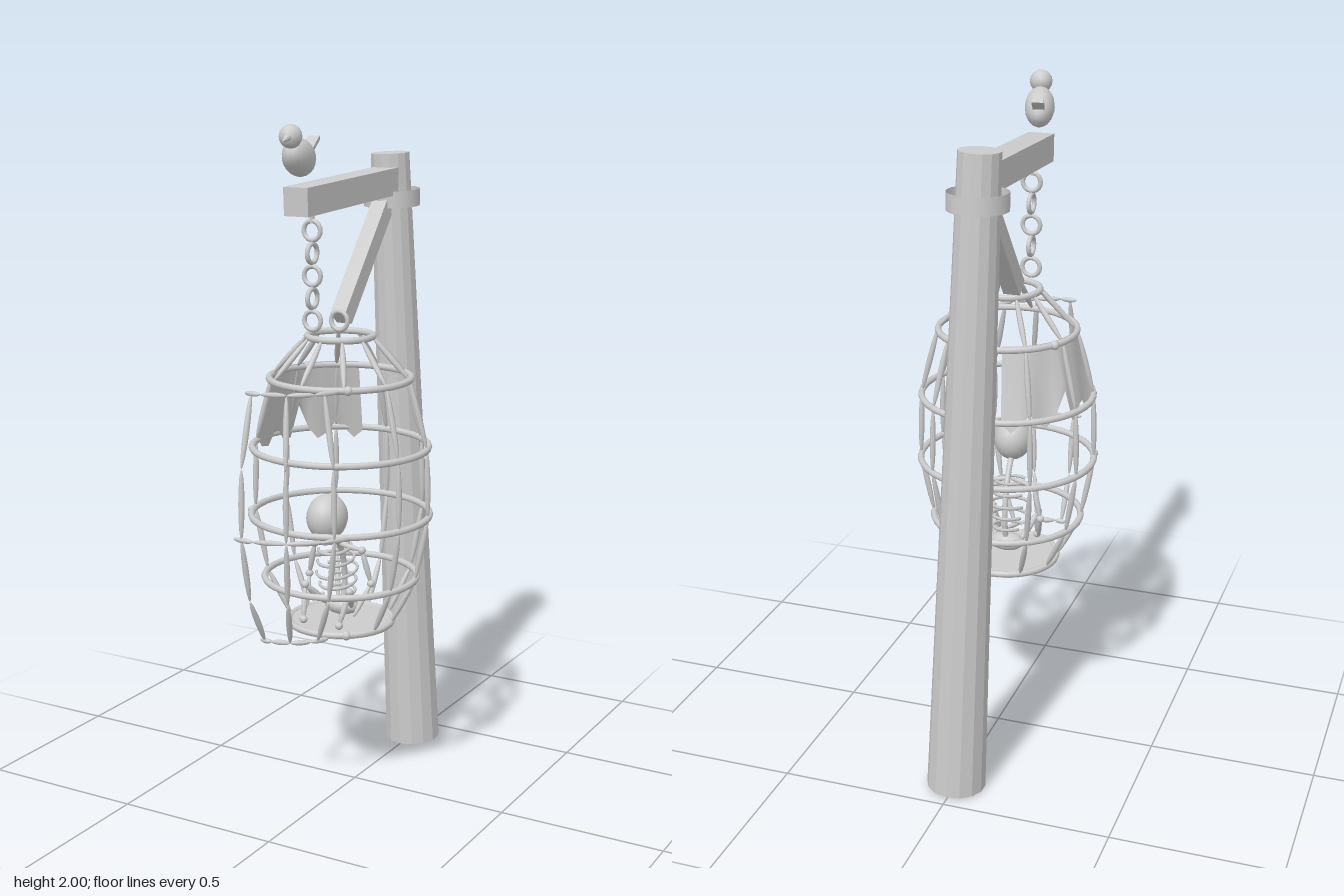
import * as THREE from 'three';

const V = (x, y, z) => new THREE.Vector3(x, y, z);
const UP = V(0, 1, 0);
const grey = new THREE.MeshStandardMaterial({ color: 0xcccccc });
const flat = new THREE.MeshStandardMaterial({ color: 0xcccccc, flatShading: true });
const thin = new THREE.MeshStandardMaterial({ color: 0xcccccc, side: THREE.DoubleSide });

export function createModel() {
  const root = new THREE.Group();
  const add = (parent, name, geo, mat = grey, pos = V(0, 0, 0)) => {
    const m = new THREE.Mesh(geo, mat);
    m.name = name;
    m.position.copy(pos);
    parent.add(m);
    return m;
  };
  const group = (name, parent = root) => {
    const g = new THREE.Group();
    g.name = name;
    parent.add(g);
    return g;
  };
  // Lay a y-aligned mesh between two points
  const span = (m, a, b) => {
    m.position.copy(a).lerp(b, 0.5);
    m.quaternion.setFromUnitVectors(UP, b.clone().sub(a).normalize());
    return m;
  };
  const rod = (parent, name, a, b, r0, r1, sides, mat) =>
    span(add(parent, name, new THREE.CylinderGeometry(r1, r0, a.distanceTo(b), sides), mat), a, b);
  // Slim spindle, thick in the middle and pointed at both ends
  const spindle = (parent, name, a, b, r) => {
    const geo = new THREE.SphereGeometry(1, 7, 8).scale(r, a.distanceTo(b) / 2, r);
    return span(add(parent, name, geo), a, b);
  };
  const ball = (parent, name, p, r) => add(parent, name, new THREE.SphereGeometry(r, 12, 8), grey, p);

  // Leaning post with its collar
  const foot = V(0, 0, -0.387), head = V(-0.057, 1.89, -0.316);
  rod(root, 'post', foot, head, 0.087, 0.059, 14, flat);
  const collar = add(root, 'collar', new THREE.CylinderGeometry(0.085, 0.085, 0.05, 24, 1, true), thin,
    foot.clone().lerp(head, 0.93));
  collar.rotation.x = 0.04;

  // Beam and brace
  const beamA = V(-0.048, 1.81, -0.3), beamB = V(-0.048, 1.785, 0.245);
  span(add(root, 'beam', new THREE.BoxGeometry(0.078, beamA.distanceTo(beamB), 0.08)), beamA, beamB);
  const braceA = V(-0.048, 1.43, -0.003), braceB = V(-0.05, 1.745, -0.265);
  span(add(root, 'brace', new THREE.BoxGeometry(0.05, braceA.distanceTo(braceB), 0.052)), braceA, braceB);

  // Chain of links turned a quarter each time
  const chain = group('chain');
  for (let i = 0; i < 5; i++) {
    const link = add(chain, 'chainLink', new THREE.TorusGeometry(0.027, 0.007, 8, 18), grey,
      V(-0.047, 1.7 - i * 0.0635, 0.16));
    link.rotation.y = (i % 2) * Math.PI / 2;
  }
  rod(chain, 'chainPin', V(-0.047, 1.72, 0.16), V(-0.047, 1.76, 0.16), 0.007, 0.007, 8);

  // Barrel-shaped cage: [height, radius] of each hoop
  const hoops = [[0.543, 0.153], [0.68, 0.225], [0.87, 0.262], [1.073, 0.257], [1.275, 0.205], [1.396, 0.095]];
  const cage = group('cage');
  const at = (deg, r, y, cx = 0, cz = 0.085) => {
    const a = THREE.MathUtils.degToRad(deg);
    return V(cx + r * Math.cos(a), y, cz - r * Math.sin(a));
  };
  for (const [y, r] of hoops)
    add(cage, 'hoop', new THREE.TorusGeometry(r, 0.01, 8, 40).rotateX(Math.PI / 2), grey, V(0, y, 0.085));
  add(cage, 'floor', new THREE.CylinderGeometry(0.157, 0.157, 0.014, 32), grey, V(0, 0.54, 0.085));
  add(cage, 'topRing', new THREE.TorusGeometry(0.027, 0.007, 8, 18), grey, V(0, 1.44, 0.09));
  const bar = (parent, deg, count, cx, cz) => {
    for (let i = 0; i < count; i++) {
      const [y0, r0] = hoops[i], [y1, r1] = hoops[i + 1];
      spindle(parent, 'bar', at(deg, r0, y0, cx, cz), at(deg, r1, y1, cx, cz), 0.009);
    }
  };
  for (const deg of [-21, 15, 51, 87, 123, 159, 195]) bar(cage, deg, 5);
  for (const deg of [231, 267, 303]) {
    const [y0, r0] = hoops[4], [y1, r1] = hoops[5];
    spindle(cage, 'topBar', at(deg, r0, y0), at(deg, r1, y1), 0.009);
  }

  // Door: a piece of the cage wall swung open
  const door = group('door');
  const dx = -0.087, dz = 0.207;
  for (const deg of [268, 297, 327]) bar(door, deg, 4, dx, dz);
  for (const i of [0, 2, 4]) {
    const [y, r] = hoops[i];
    for (const [a, b] of [[262, 276], [276, 297], [297, 319], [319, 341]])
      spindle(door, 'doorRail', at(a, r, y, dx, dz), at(b, r, y, dx, dz), 0.008);
  }
  for (const i of [0, 4]) ball(door, 'hinge', at(-54, hoops[i][1], hoops[i][0]), 0.014);
  ball(cage, 'knot', at(149, 0.207, 1.275), 0.014);
  ball(cage, 'knot', at(202, 0.265, 0.87), 0.012);

  // Ragged cloth hanging on the cage wall
  const cols = 14, rows = 4;
  const cloth = new THREE.PlaneGeometry(1, 1, cols, rows);
  const cp = cloth.attributes.position;
  for (let i = 0; i < cp.count; i++) {
    const u = cp.getX(i) + 0.5, v = 0.5 - cp.getY(i);
    const tear = 0.025 * Math.sin(u * 23) + (Math.abs(u - 0.5) < 0.05 ? -0.06 : 0);
    const y = 1.285 - v * (0.22 + tear);
    const p = at(104 + u * 92, 0.2 + v * 0.045 + 0.008 * Math.sin(u * 14) * v, y);
    cp.setXYZ(i, p.x, p.y, p.z);
  }
  cloth.computeVertexNormals();
  add(cage, 'cloth', cloth, thin);

  // Skeleton slumped on the floor
  const bones = group('skeleton');
  add(bones, 'skull', new THREE.SphereGeometry(1, 20, 14).scale(0.058, 0.068, 0.067), grey, V(0.016, 0.885, 0.19));
  const spine = new THREE.CatmullRomCurve3([V(0, 0.58, 0.075), V(0, 0.66, 0.06), V(0.005, 0.76, 0.09), V(0.012, 0.84, 0.16)]);
  add(bones, 'spine', new THREE.TubeGeometry(spine, 16, 0.009, 7));
  add(bones, 'pelvis', new THREE.SphereGeometry(1, 12, 8).scale(0.055, 0.028, 0.035), grey, V(0, 0.585, 0.08));
  for (let i = 0; i < 5; i++) {
    const r = 0.068 - Math.abs(i - 2) * 0.007;
    const rib = add(bones, 'rib', new THREE.TorusGeometry(r, 0.005, 6, 24, Math.PI * 1.7)
      .rotateZ(-Math.PI * 0.35).rotateX(Math.PI / 2).scale(1, 1, 0.85), grey, V(0, 0.63 + i * 0.036, 0.095 + i * 0.006));
    rib.rotation.set(0.15, 0, 0);
    rib.rotateY(Math.PI / 2);
  }
  for (const s of [-1, 1]) {
    const shoulder = V(s * 0.08, 0.77, 0.1), elbow = V(s * 0.105, 0.67, 0.09), hand = V(s * 0.08, 0.58, 0.15);
    const hip = V(s * 0.04, 0.585, 0.09), knee = V(s * 0.075, 0.66, 0.165), ankle = V(s * 0.06, 0.565, 0.2);
    spindle(bones, 'collarBone', V(0, 0.785, 0.11), shoulder, 0.008);
    spindle(bones, 'upperArm', shoulder, elbow, 0.009);
    spindle(bones, 'forearm', elbow, hand, 0.008);
    spindle(bones, 'thigh', hip, knee, 0.011);
    spindle(bones, 'shin', knee, ankle, 0.009);
    for (const p of [shoulder, elbow, knee, ankle]) ball(bones, 'joint', p, 0.012);
  }

  // Bird perched on the beam end
  const bird = group('bird');
  bird.position.set(-0.05, 1.905, 0.222);
  bird.rotation.y = 0.26;
  const body = add(bird, 'birdBody', new THREE.SphereGeometry(1, 18, 12).scale(0.043, 0.052, 0.085));
  body.rotation.x = -0.22;
  ball(bird, 'birdHead', V(0, 0.06, 0.078), 0.033);
  rod(bird, 'beak', V(0, 0.058, 0.105), V(0, 0.05, 0.152), 0.011, 0.001, 8);
  const tailA = V(0, 0.002, -0.05), tailB = V(0, 0.046, -0.152);
  span(add(bird, 'tail', new THREE.BoxGeometry(0.034, tailA.distanceTo(tailB), 0.012)), tailA, tailB);

  return root;
}
